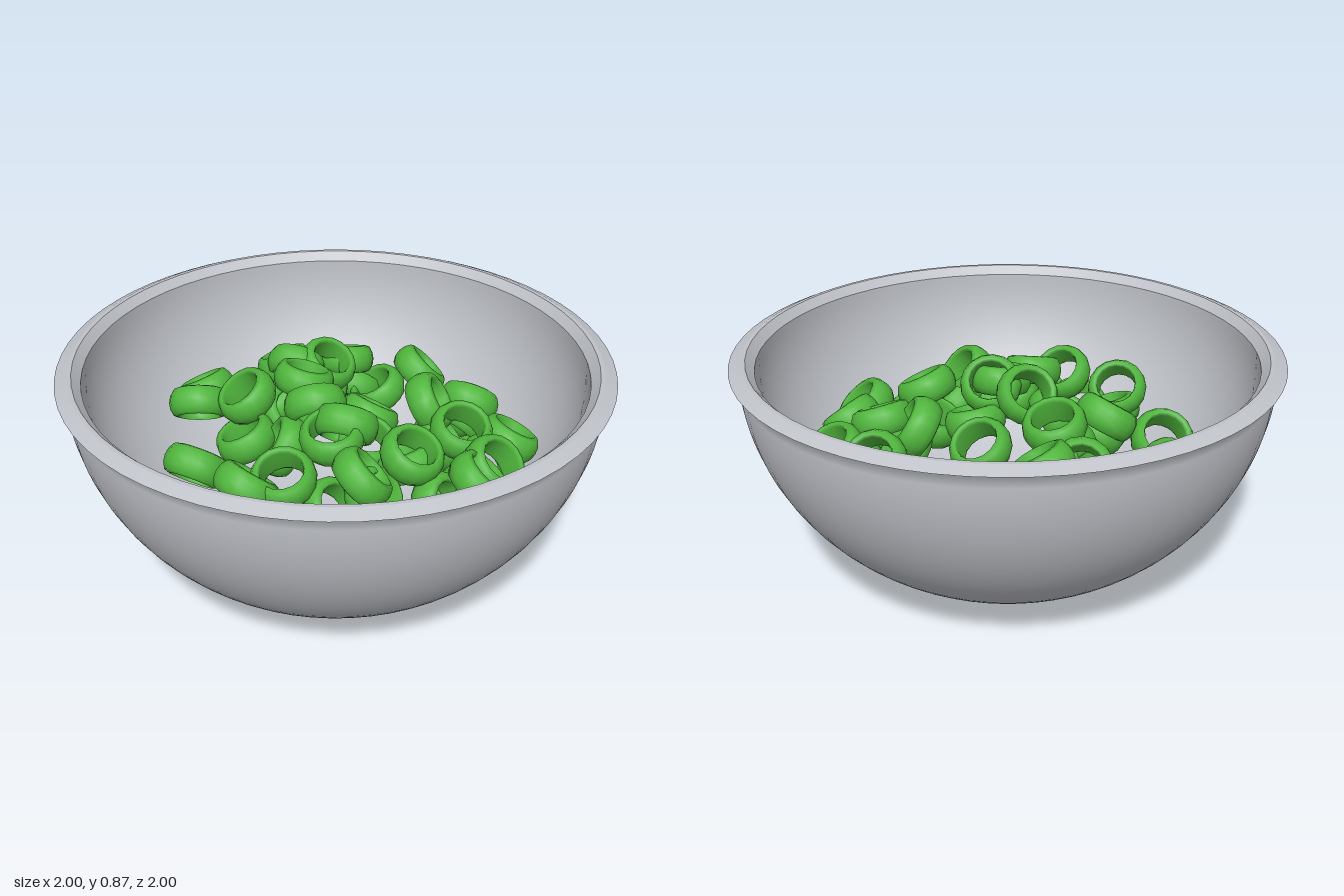
import * as THREE from 'three';

const RIM_Y = 0.84, FLOOR_Y = 0.1, INNER_R = 0.91;

// Point on an elliptical bowl wall; angle 0 is the top edge
function wallPoint(radius, depth, angle) {
  return [radius * Math.cos(angle), RIM_Y - depth * Math.sin(angle)];
}

function lathe(name, points, material, segments = 64) {
  const pts = points.map(([x, y]) => new THREE.Vector2(x, y));
  const mesh = new THREE.Mesh(new THREE.LatheGeometry(pts, segments), material);
  mesh.name = name;
  return mesh;
}

// Rings: x, z, direction of lean and angle of lean (degrees)
const lowerRings = [
  [-0.38, 0.5, 30, 20], [-0.07, 0.62, 250, 18], [-0.24, 0.6, 200, 22], [0.05, 0.59, 320, 40],
  [0.12, 0.4, 20, 45], [0.22, 0.5, 30, 40], [0.38, 0.4, 40, 45], [-0.16, 0.14, 160, 60],
  [0.13, 0.04, 45, 20], [0.08, -0.17, 300, 35], [-0.33, 0.09, 160, 25], [-0.23, -0.12, 30, 45],
  [-0.29, -0.19, 200, 50], [0.3, 0.07, 200, 25], [0.37, -0.14, 340, 50], [0.34, -0.5, 330, 45],
  [0.01, -0.53, 150, 30], [-0.12, -0.61, 290, 40], [-0.23, -0.57, 240, 45], [-0.38, -0.4, 180, 45],
  [-0.22, -0.45, 60, 35], [0.65, 0.04, 0, 35], [0.5, 0.12, 160, 50], [0.57, 0.26, 60, 30],
  [0.46, 0.21, 20, 60], [0.56, -0.16, 30, 40], [0.4, -0.45, 300, 50], [0.24, 0.3, 10, 55],
];
const upperRings = [
  [-0.62, -0.2, 200, 30], [-0.58, -0.04, 250, 40], [0.62, -0.21, 320, 30],
  [-0.4, 0.39, 280, 45], [-0.17, 0.48, 300, 42], [-0.05, 0.43, 90, 22], [0.21, 0.35, 330, 48],
  [0.05, 0.2, 90, 15], [0.08, 0.12, 270, 45], [-0.07, 0.03, 240, 48], [-0.37, -0.03, 140, 35],
  [-0.19, -0.18, 300, 20], [0.34, 0.17, 20, 28], [0.31, -0.2, 350, 58], [0.46, -0.09, 45, 25],
  [0.43, -0.36, 280, 45], [0.17, -0.6, 330, 45], [-0.15, -0.59, 250, 25], [-0.37, -0.45, 200, 25],
  [-0.3, -0.39, 270, 50], [-0.17, -0.41, 20, 32], [0.61, 0.02, 20, 40], [0.58, 0.14, 340, 40],
];

export function createModel() {
  const bowlGrey = new THREE.MeshStandardMaterial({ color: 0xbfc2c8 });
  bowlGrey.name = 'bowlGrey';
  const ringGreen = new THREE.MeshStandardMaterial({ color: 0x50b63d });
  ringGreen.name = 'ringGreen';

  const model = new THREE.Group();
  model.name = 'bowlOfRings';
  const bowl = new THREE.Group();
  bowl.name = 'bowl';
  model.add(bowl);

  // Outside: flat base, flared foot, elliptical wall and underside of the lip
  const outer = [[0, 0], [0.39, 0], [0.425, 0.038]];
  const start = Math.acos(0.44 / 0.97);
  for (let i = 0; i <= 24; i++) {
    outer.push(wallPoint(0.97, 0.89, start * (1 - i / 24)));
  }
  outer.push([1, 0.853]);
  bowl.add(lathe('outerWall', outer, bowlGrey));

  // Rim, one lathe per facet to keep its edges sharp
  const rim = [[1, 0.853], [0.955, 0.873], [0.94, 0.873], [INNER_R, RIM_Y]];
  for (let i = 0; i < rim.length - 1; i++) {
    bowl.add(lathe('rim', [rim[i], rim[i + 1]], bowlGrey));
  }

  // Inside, from the rim to the middle
  const inner = [];
  for (let i = 0; i < 28; i++) {
    inner.push(wallPoint(INNER_R, RIM_Y - FLOOR_Y, (i / 28) * Math.PI / 2));
  }
  inner.push([0, FLOOR_Y]);
  bowl.add(lathe('innerWall', inner, bowlGrey));

  // Ring section: straight bore with a rounded outside
  const section = [
    [0.084, -0.056], [0.102, -0.05], [0.115, -0.026], [0.119, 0],
    [0.115, 0.026], [0.102, 0.05], [0.084, 0.056], [0.077, 0.042], [0.077, -0.042], [0.084, -0.056],
  ].map(([x, y]) => new THREE.Vector2(x, y));
  const ringGeometry = new THREE.LatheGeometry(section, 16);

  // Domed heap of rings in two layers
  const rings = new THREE.Group();
  rings.name = 'rings';
  model.add(rings);
  const up = new THREE.Vector3(0, 1, 0);
  [lowerRings, upperRings].forEach((layer, level) => {
    for (const [x, z, direction, lean] of layer) {
      const a = THREE.MathUtils.degToRad(direction);
      const t = THREE.MathUtils.degToRad(lean);
      const axis = new THREE.Vector3(Math.sin(t) * Math.cos(a), Math.cos(t), Math.sin(t) * Math.sin(a));
      const ring = new THREE.Mesh(ringGeometry, ringGreen);
      ring.name = 'ring';
      ring.quaternion.setFromUnitVectors(up, axis);
      const dome = 0.66 - 0.37 * (x * x + z * z);
      ring.position.set(x, dome - (1 - level) * 0.12, z);
      rings.add(ring);
    }
  });
  return model;
}
